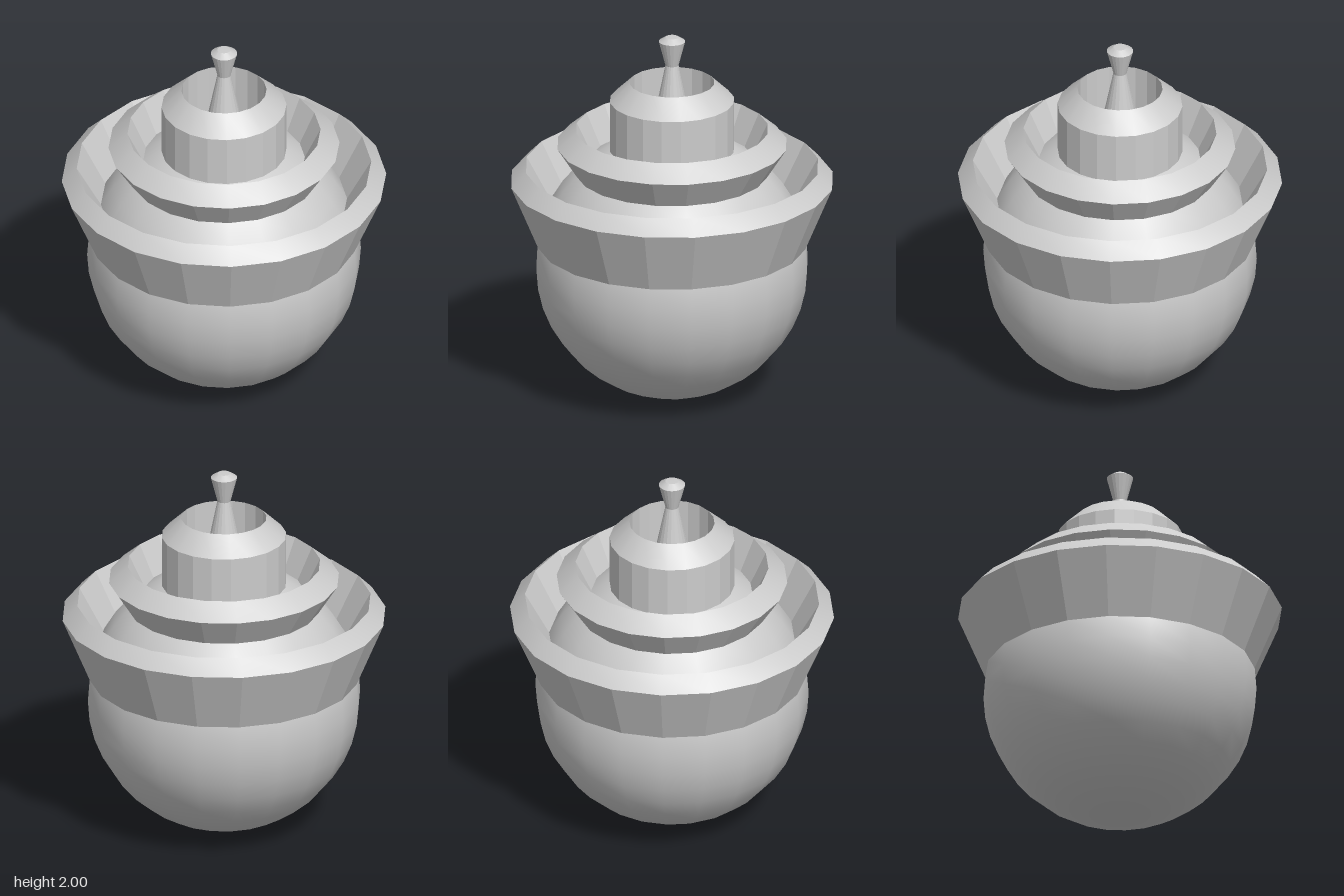
import * as THREE from 'three';
import { toCreasedNormals } from 'three/addons/utils/BufferGeometryUtils.js';

const SIDES = 20;
const material = new THREE.MeshStandardMaterial({ color: 0xcccccc, side: THREE.DoubleSide });

// Turned part: profile of [radius, height], faceted walls with smooth shallow lips
function turned(name, profile) {
  const points = profile.map(([r, y]) => new THREE.Vector2(r, y));
  const geometry = toCreasedNormals(new THREE.LatheGeometry(points, SIDES), THREE.MathUtils.degToRad(15));
  const mesh = new THREE.Mesh(geometry, material);
  mesh.name = name;
  return mesh;
}

export function createModel() {
  const group = new THREE.Group();
  group.name = 'tieredOrb';

  // Smooth round body
  const body = new THREE.Mesh(new THREE.SphereGeometry(0.723, SIDES, 20), material);
  body.name = 'body';
  body.rotation.y = Math.PI / 2;
  body.position.y = 0.723;
  group.add(body);

  // Flared hollow tiers: up the outside, over the lip, down the inside into the body
  group.add(turned('largeCollar', [[0.713, 0.843], [0.857, 1.19], [0.778, 1.27], [0.64, 1.02]]));
  group.add(turned('middleCollar', [[0.485, 1.2], [0.61, 1.395], [0.51, 1.48], [0.41, 1.27]]));
  group.add(turned('drum', [[0.33, 1.33], [0.33, 1.643], [0.225, 1.743], [0.225, 1.38]]));

  // Waisted stem with a domed knob
  group.add(turned('stemAndKnob', [
    [0.118, 1.43], [0.035, 1.84], [0.07, 1.975], [0.035, 1.998], [0, 2],
  ]));

  return group;
}
